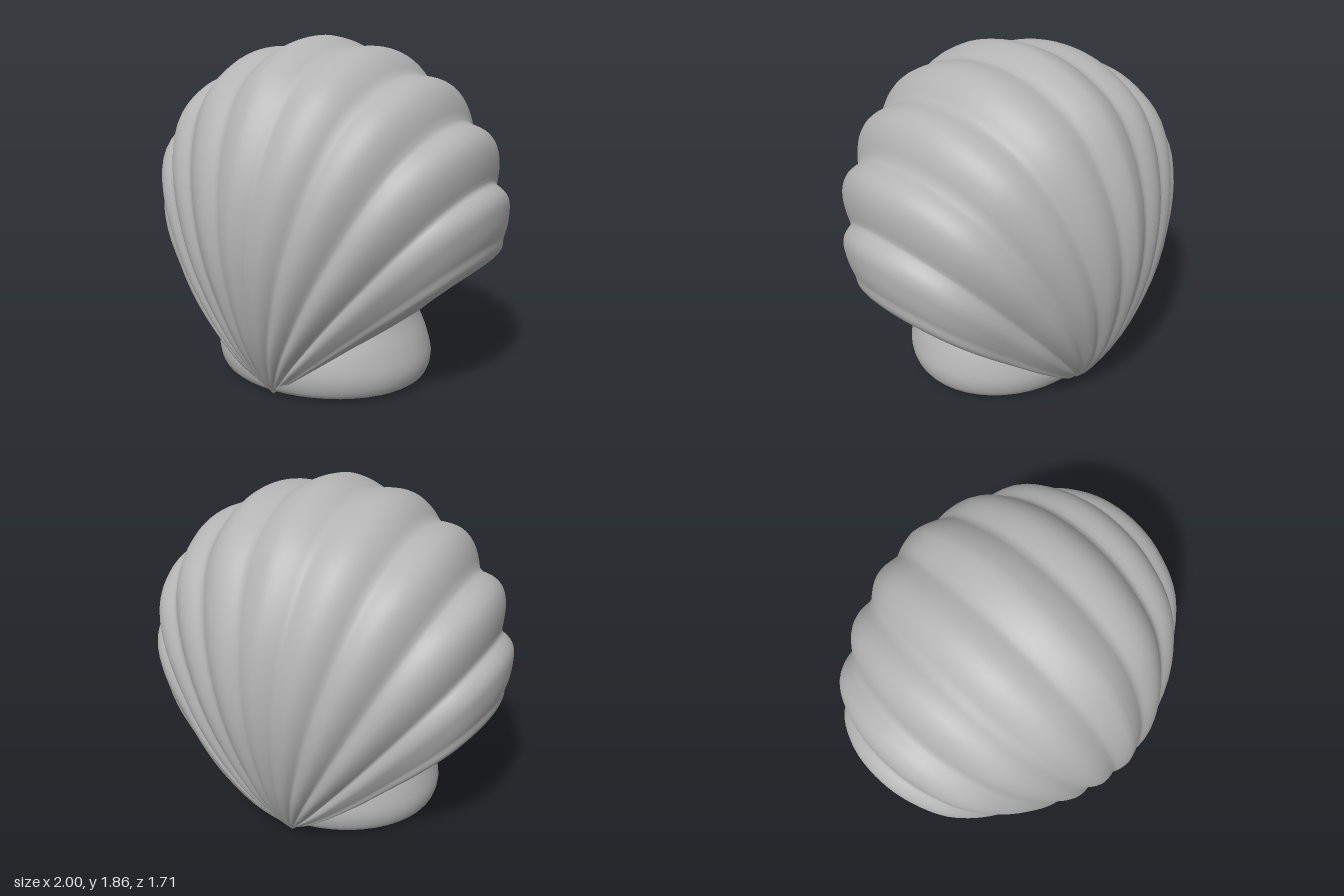
import * as THREE from 'three';

const V = (x, y, z = 0) => new THREE.Vector3(x, y, z);
const RIB = 11.2; // degrees between neighbouring ribs

// Middle rib seen from the side: (z, height fraction), hinge to crown
const half = [[0.52, 0], [0.61, 0.06], [0.77, 0.23], [0.855, 0.46], [0.815, 0.66], [0.63, 0.86], [0.34, 0.965]];
const arc = new THREE.CatmullRomCurve3([
  ...half.map(([z, r]) => V(z, r)), V(0, 1), ...half.map(([z, r]) => V(-z, r)).reverse()]);

// Fan from the middle to the underside: (angle, reach, thickness)
const fan = new THREE.CatmullRomCurve3([
  [0, 1.86, 1], [11, 1.825, 0.97], [22, 1.75, 0.9], [33, 1.63, 0.8], [40, 1.52, 0.73], [45, 1.415, 0.67],
  [49, 1.3, 0.62], [52.5, 1.14, 0.58], [53, 0.95, 0.54], [54, 0.76, 0.5], [55.5, 0.62, 0.42], [57, 0.45, 0.35]
].map(p => V(...p)));

function shellGeometry(nu = 264, nt = 56) {
  const pos = [], index = [];
  for (let i = 0; i <= nu; i++) {
    const u = (i / nu) * 2 - 1, side = Math.sign(u);
    const { x: deg, y: reach, z: thick } = fan.getPoint(Math.abs(u));
    const a = THREE.MathUtils.degToRad(deg) * side;
    const groove = deg > 4 * RIB ? 0 : (0.018 + deg * 0.0009) * (1 - Math.abs(Math.cos(Math.PI * deg / RIB)));
    for (let j = 0; j <= nt; j++) {
      const p = arc.getPointAt(j / nt), f = Math.max(0, p.y);
      const s = 1 - groove * Math.min(1, f * 4);
      const w = 1 + (thick - 1) * Math.min(1, Math.sqrt(f * 1.6));
      const r = f * reach * s;
      const lean = -0.06 * (deg / 50) ** 2 * f; // side ribs lean backward
      pos.push(r * Math.sin(a), r * Math.cos(a), p.x * w * s + lean);
      if (i < nu && j < nt) {
        const k = i * (nt + 1) + j, n = k + nt + 1;
        index.push(k, n, n + 1, k, n + 1, k + 1);
      }
    }
  }
  const g = new THREE.BufferGeometry();
  g.setAttribute('position', new THREE.Float32BufferAttribute(pos, 3));
  g.setIndex(index);
  g.computeVertexNormals();
  return g;
}

export function createModel() {
  const model = new THREE.Group();
  model.name = 'scallopShell';
  const grey = new THREE.MeshStandardMaterial({ color: 0xb4b4b4 });
  grey.name = 'shellGrey';

  // Ribbed double shell
  const shell = new THREE.Mesh(shellGeometry(), grey);
  shell.name = 'ribbedShell';
  model.add(shell);

  // Rounded foot that forms the two ears and rises into the hollow under the ribs
  const outline = new THREE.CatmullRomCurve3([
    [0.54, 0.004], [0.6, 0.03], [0.63, 0.12], [0.605, 0.24], [0.555, 0.36], [0.5, 0.5], [0.36, 0.62]
  ].map(p => V(...p)));
  const profile = [new THREE.Vector2(0, 0), ...outline.getPoints(24).map(p => new THREE.Vector2(p.x, p.y))];
  const footGeometry = new THREE.LatheGeometry(profile, 48);
  footGeometry.scale(1, 1, 0.86);
  const foot = new THREE.Mesh(footGeometry, grey);
  foot.name = 'foot';
  foot.position.z = 0.02;
  model.add(foot);

  return model;
}
